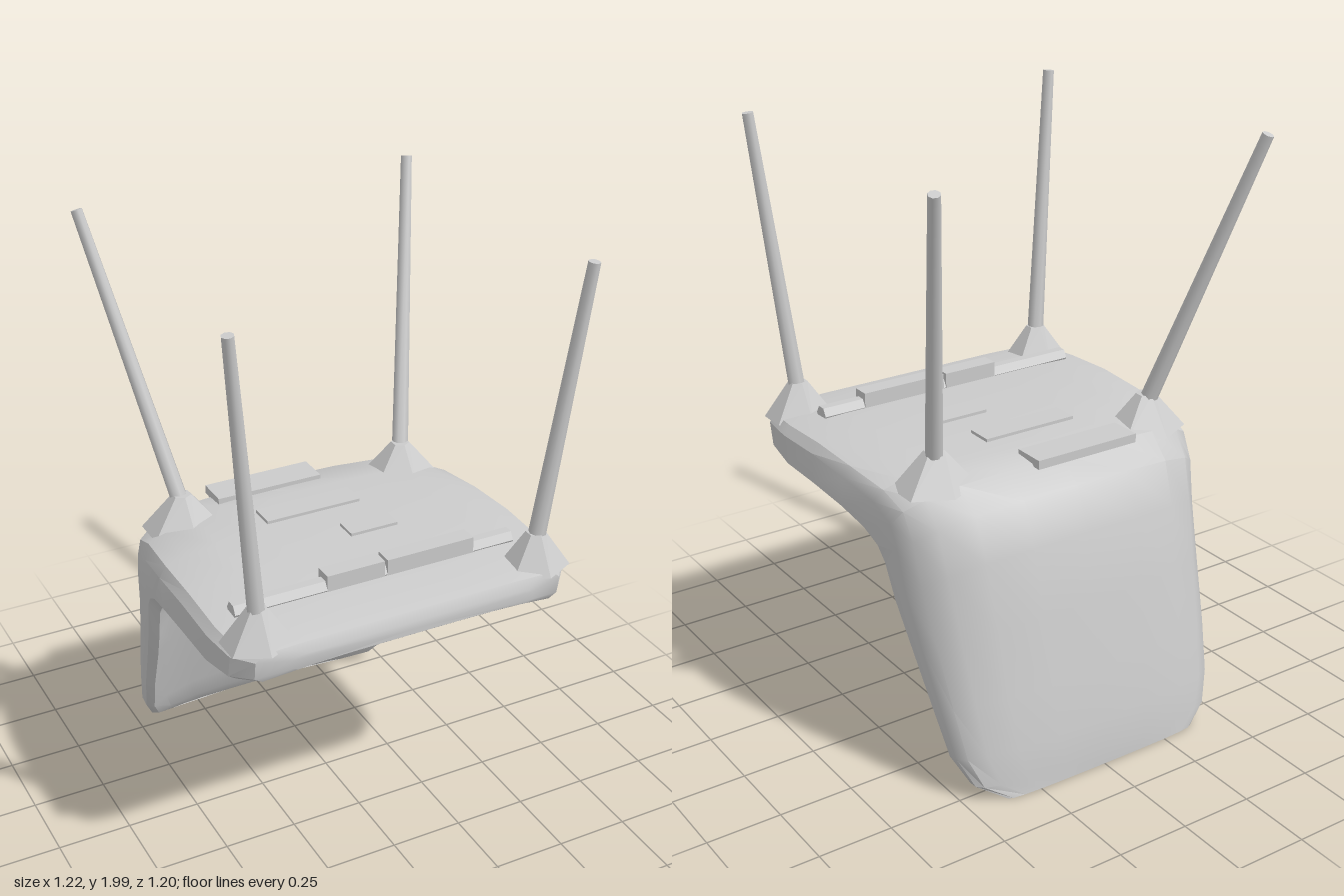
import * as THREE from 'three';
import { toCreasedNormals } from 'three/addons/utils/BufferGeometryUtils.js';

const material = new THREE.MeshStandardMaterial({ color: 0xcccccc });

// Stations along the shell: outer z, y; inner z, y; half width; wrap (0 seat, 1 back)
const STATIONS = [
  [0.6, 0.96, 0.6, 0.91, 0.42, 0],
  [0.585, 0.99, 0.57, 0.88, 0.53, 0],
  [0.53, 1.0, 0.5, 0.865, 0.585, 0],
  [0.4, 1.01, 0.37, 0.845, 0.6, 0],
  [0.2, 1.02, 0.2, 0.84, 0.6, 0],
  [0, 1.02, 0.03, 0.825, 0.595, 0.1],
  [-0.2, 1.02, -0.07, 0.79, 0.58, 0.25],
  [-0.33, 1.01, -0.13, 0.75, 0.57, 0.5],
  [-0.42, 0.94, -0.16, 0.71, 0.565, 0.8],
  [-0.475, 0.8, -0.2, 0.6, 0.555, 1],
  [-0.52, 0.58, -0.26, 0.48, 0.54, 1],
  [-0.56, 0.35, -0.36, 0.29, 0.52, 1],
  [-0.59, 0.18, -0.43, 0.14, 0.5, 1],
  [-0.6, 0.07, -0.49, 0.06, 0.46, 0.9],
  [-0.6, 0.015, -0.56, 0.01, 0.37, 0.6],
];

// Half cross-section, edge to centre: [across, depth on seat, depth on back]
const OUTER = [[1, 0.28, 0.66], [0.96, 0.1, 0.45], [0.85, 0.03, 0.25], [0.65, 0, 0.09], [0.35, 0, 0.02]];
const INNER = [[1, 0.85, 0.9], [0.95, 1, 1], [0.83, 0.93, 0.8], [0.6, 0.88, 0.62], [0.3, 0.86, 0.55]];

function shellGeometry() {
  const flip = (list) => list.map(([u, a, b]) => [-u, a, b]);
  const section = [
    ...flip(OUTER), [0, 0, 0], ...[...OUTER].reverse(),
    ...INNER, [0, 0.86, 0.53], ...flip(INNER).reverse(),
  ];
  const n = section.length;
  const positions = [];
  const index = [];
  for (const [oz, oy, iz, iy, w, wrap] of STATIONS) {
    for (const [u, seat, back] of section) {
      const t = THREE.MathUtils.lerp(seat, back, wrap);
      positions.push(u * w, THREE.MathUtils.lerp(oy, iy, t), THREE.MathUtils.lerp(oz, iz, t));
    }
  }
  for (let s = 0; s < STATIONS.length - 1; s++) {
    for (let i = 0; i < n; i++) {
      const a = s * n + i;
      const b = s * n + (i + 1) % n;
      index.push(a, b, a + n, b, b + n, a + n);
    }
  }
  // End caps, fanned from their middle points
  for (const s of [0, STATIONS.length - 1]) {
    const [oz, oy, iz, iy] = STATIONS[s];
    const c = positions.length / 3;
    positions.push(0, (oy + iy) / 2, (oz + iz) / 2);
    for (let i = 0; i < n; i++) {
      const a = s * n + i;
      const b = s * n + (i + 1) % n;
      if (s === 0) index.push(c, b, a);
      else index.push(c, a, b);
    }
  }
  const geometry = new THREE.BufferGeometry();
  geometry.setAttribute('position', new THREE.Float32BufferAttribute(positions, 3));
  geometry.setIndex(index);
  return toCreasedNormals(geometry.toNonIndexed(), 0.6);
}

function addMesh(parent, name, geometry, x = 0, y = 0, z = 0) {
  const mesh = new THREE.Mesh(geometry, material);
  mesh.name = name;
  mesh.position.set(x, y, z);
  parent.add(mesh);
  return mesh;
}

// Tapered bar between two points
function addBar(parent, name, from, to, r0, r1, sides) {
  const a = new THREE.Vector3(...from);
  const b = new THREE.Vector3(...to);
  const dir = b.clone().sub(a);
  const geometry = toCreasedNormals(new THREE.CylinderGeometry(r1, r0, dir.length(), sides).toNonIndexed(), 0.8);
  const mesh = addMesh(parent, name, geometry);
  mesh.position.copy(a).add(b).multiplyScalar(0.5);
  mesh.quaternion.setFromUnitVectors(new THREE.Vector3(0, 1, 0), dir.normalize());
}

// Leg with its flared socket on the seat underside
function addLeg(parent, name, base, tip, flareX, flareZ) {
  const leg = new THREE.Group();
  leg.name = name;
  addBar(leg, 'legShaft', base, tip, 0.029, 0.019, 8);
  const socket = toCreasedNormals(new THREE.CylinderGeometry(0.032, 1, 0.12, 6).toNonIndexed(), 0.3);
  const p = socket.attributes.position;
  for (let i = 0; i < p.count; i++) {
    if (p.getY(i) < 0) p.setXYZ(i, p.getX(i) * flareX, p.getY(i), p.getZ(i) * flareZ);
  }
  socket.computeVertexNormals();
  addMesh(leg, 'legSocket', socket, base[0], 1.035, base[2]);
  parent.add(leg);
}

export function createModel() {
  const chair = new THREE.Group();
  chair.name = 'upturnedChair';

  // Seat and backrest in one bent shell
  addMesh(chair, 'seatShell', shellGeometry());

  // Splayed legs pointing up
  for (const side of [1, -1]) {
    const label = side > 0 ? 'left' : 'right';
    addLeg(chair, label + 'FrontLeg', [side * 0.485, 1.05, 0.5], [side * 0.58, 2, 0.565], 0.12, 0.1);
    addLeg(chair, label + 'BackLeg', [side * 0.41, 1.05, -0.235], [side * 0.59, 1.995, -0.55], 0.14, 0.12);
  }

  // Cross rail and small fittings on the underside
  addBar(chair, 'crossRail', [-0.51, 1.015, 0.37], [0.47, 1.015, 0.37], 0.03, 0.03, 6);
  for (const [x, w] of [[-0.1, 0.2], [0.165, 0.31]]) {
    addMesh(chair, 'railClip', new THREE.BoxGeometry(w, 0.06, 0.06), x, 1.035, 0.37);
  }
  for (const [x, z, w, d] of [[-0.08, -0.31, 0.38, 0.11], [0.1, 0.11, 0.17, 0.08], [-0.02, -0.09, 0.34, 0.09]]) {
    addMesh(chair, 'undersidePad', new THREE.BoxGeometry(w, 0.03, d), x, 1.015, z);
  }
  return chair;
}
